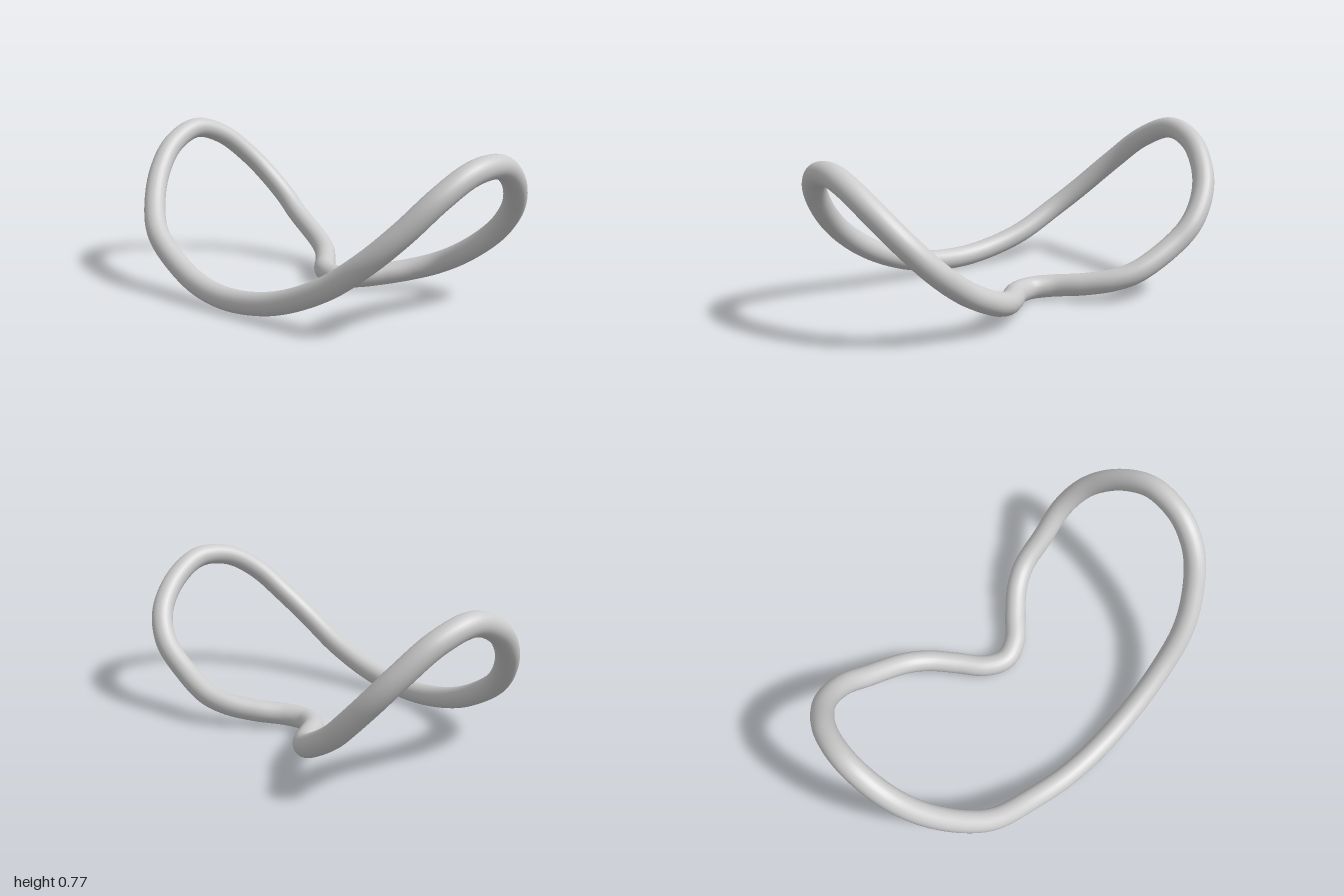
import * as THREE from 'three';

const RADIUS = 0.052;

// Plan outline of the loop (x, z), running from the rear notch round by +x.
const OUTLINE = [
  [0, -0.16], [0.1, -0.2], [0.2, -0.305], [0.3, -0.4], [0.4, -0.455], [0.55, -0.48],
  [0.7, -0.495], [0.81, -0.45], [0.89, -0.34], [0.935, -0.2], [0.945, -0.1],
  [0.935, 0.05], [0.89, 0.19], [0.8, 0.3], [0.68, 0.38], [0.5, 0.43], [0.25, 0.47],
  [0, 0.49], [-0.2, 0.49], [-0.4, 0.47], [-0.6, 0.44], [-0.72, 0.375], [-0.85, 0.245],
  [-0.92, 0.1], [-0.948, -0.08], [-0.93, -0.25], [-0.87, -0.39], [-0.8, -0.46],
  [-0.7, -0.498], [-0.6, -0.492], [-0.4, -0.455], [-0.3, -0.4], [-0.2, -0.305], [-0.1, -0.2],
];

// The outline is draped on a trough of circular section, a little steeper on -x.
function height(x) {
  const r = x < 0 ? 1.006 : 1.027;
  return RADIUS + r - Math.sqrt(r * r - x * x);
}

export function createModel() {
  const group = new THREE.Group();
  group.name = 'bentLoop';

  const points = OUTLINE.map(([x, z]) => new THREE.Vector3(x, height(x), z));
  const path = new THREE.CatmullRomCurve3(points, true, 'centripetal');

  // Closed round tube
  const tube = new THREE.Mesh(
    new THREE.TubeGeometry(path, 300, RADIUS, 24, true),
    new THREE.MeshStandardMaterial({ color: 0xcccccc })
  );
  tube.name = 'tubeFrame';
  group.add(tube);
  return group;
}
